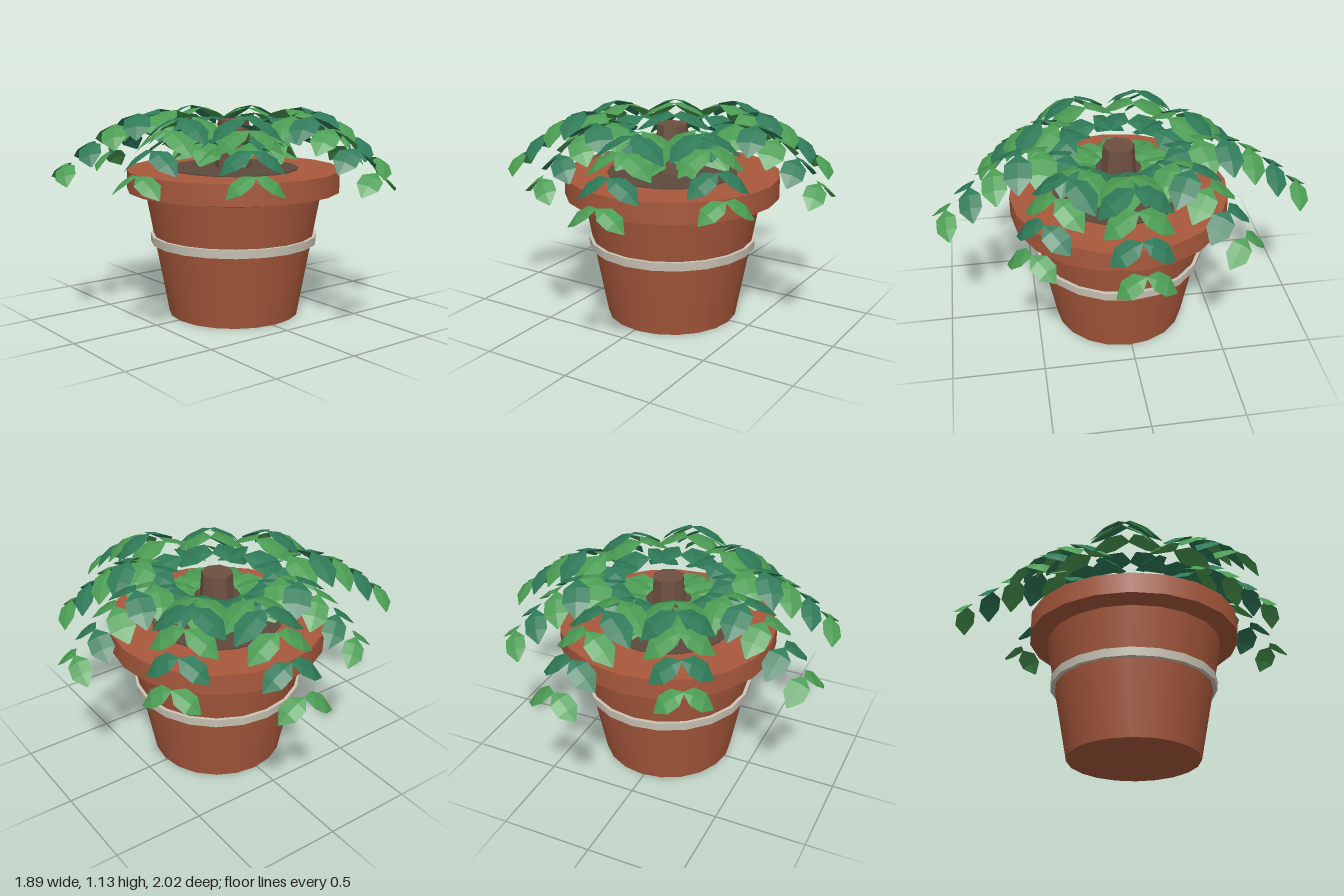
import * as THREE from 'three';
import { mergeGeometries } from 'three/addons/utils/BufferGeometryUtils.js';

const CENTRE = [0.015, 0, 0.018];
const SIDES = 20;

function material(name, color, options = {}) {
  const m = new THREE.MeshStandardMaterial({ color, ...options });
  m.name = name;
  return m;
}

// Solid of revolution; each profile edge keeps its own normals so rims stay sharp
function turned(profile) {
  const rings = [];
  for (let i = 0; i < profile.length - 1; i++) {
    const pts = [profile[i], profile[i + 1]].map(([r, y]) => new THREE.Vector2(r, y));
    rings.push(new THREE.LatheGeometry(pts, SIDES));
  }
  return mergeGeometries(rings);
}

// One arched leaf: starts at the origin, grows along +z and droops
function leafGeometry() {
  // distance along the leaf, half width, height of the midrib
  const stations = [[0, 0.006, 0], [0.045, 0.054, -0.008], [0.105, 0.056, -0.04], [0.153, 0.004, -0.09]];
  const rows = stations.map(([z, w, y]) => [[-w, y - w * 0.15, z], [0, y, z], [w, y - w * 0.15, z]]);
  const pos = [];
  for (let i = 0; i < rows.length - 1; i++) {
    for (let j = 0; j < 2; j++) {
      const a = rows[i][j], b = rows[i][j + 1], c = rows[i + 1][j], d = rows[i + 1][j + 1];
      pos.push(...a, ...c, ...b, ...b, ...c, ...d);
    }
  }
  const g = new THREE.BufferGeometry();
  g.setAttribute('position', new THREE.Float32BufferAttribute(pos, 3));
  g.computeVertexNormals();
  return g;
}

export function createModel() {
  const terracotta = material('terracotta', 0xa9593c);
  const bandGrey = material('band grey', 0xcac4b5);
  const soilBrown = material('soil brown', 0x5c4a3c);
  const barkBrown = material('bark brown', 0x6d5040, { flatShading: true });
  const leafLight = material('light leaf green', 0x4b9c53, { flatShading: true, side: THREE.DoubleSide });
  const leafDark = material('dark leaf green', 0x2e7a58, { flatShading: true, side: THREE.DoubleSide });

  const model = new THREE.Group();
  model.name = 'pottedPlant';
  const plant = new THREE.Group();
  plant.name = 'plantAndPot';
  plant.position.set(...CENTRE);
  model.add(plant);
  const add = (name, geometry, mat, parent = plant) => {
    const mesh = new THREE.Mesh(geometry, mat);
    mesh.name = name;
    parent.add(mesh);
    return mesh;
  };

  // Pot: tapered body and heavy collar with a flat top
  add('pot', turned([
    [0, 0], [0.367, 0], [0.493, 0.685], [0.595, 0.705], [0.595, 0.82], [0, 0.82],
  ]), terracotta);
  add('band', turned([[0.43, 0.408], [0.466, 0.408], [0.469, 0.455], [0.43, 0.455]]), bandGrey);

  // Soil and central stem
  add('soil', new THREE.CylinderGeometry(0.36, 0.36, 0.008, SIDES), soilBrown).position.y = 0.822;
  add('stem', new THREE.CylinderGeometry(0.085, 0.105, 0.28, 8), barkBrown).position.y = 0.95;

  // Nine arching fronds, each with seven pairs of leaves that shrink towards the tip
  const leaf = leafGeometry();
  const reach = [0.865, 0.805, 0.94, 0.765, 0.87, 0.93, 0.785, 0.955, 0.835];
  const arch = [0.98, 1.08, 1.13, 1.135, 1.08, 0.99, 0.88];
  const sweep = 0.33;
  reach.forEach((length, k) => {
    const frond = new THREE.Group();
    frond.name = `frond${k + 1}`;
    frond.rotation.y = -k * Math.PI * 2 / reach.length;
    plant.add(frond);
    const light = [], dark = [];
    const last = arch.length - 1;
    const step = (length - 0.14) / last;
    arch.forEach((y, i) => {
      const lo = Math.max(i - 1, 0), hi = Math.min(i + 1, last);
      const pitch = Math.atan2(arch[hi] - arch[lo], (hi - lo) * step) * 0.5;
      const size = 1.6 - 0.6 * i / last;
      for (const turn of [sweep, Math.PI - sweep]) {
        const g = leaf.clone().scale(size, size, size).rotateY(turn).rotateZ(pitch);
        (i % 2 ? dark : light).push(g.translate(0.14 + i * step, y, 0));
      }
    });
    add('lightLeaves', mergeGeometries(light), leafLight, frond);
    add('darkLeaves', mergeGeometries(dark), leafDark, frond);
  });

  return model;
}
